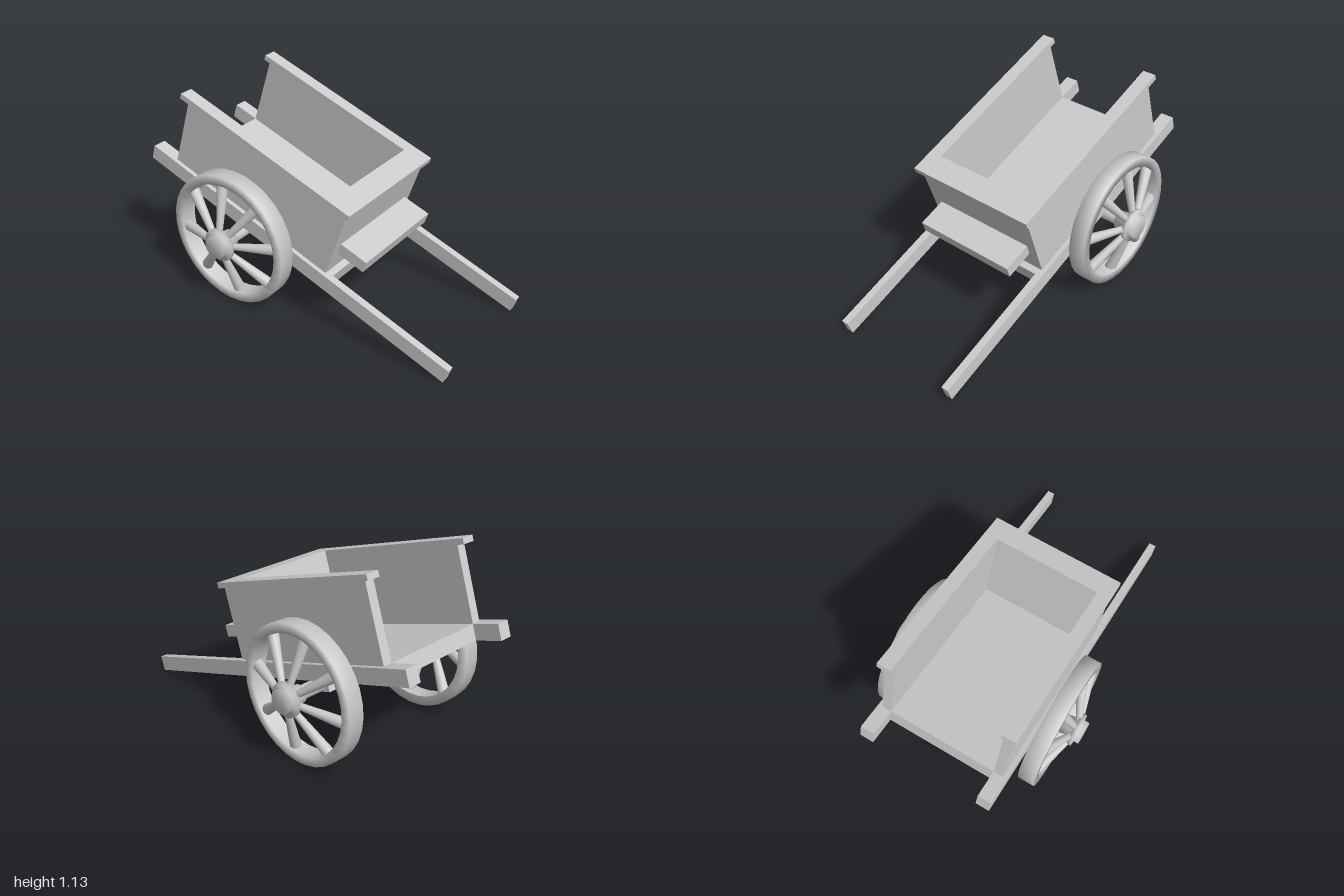
import * as THREE from 'three';

const material = new THREE.MeshStandardMaterial({ color: 0xcccccc });
const HUB = { x: -0.35, y: 0.4 };
const TILT = Math.atan(1 / 3);

// Box given by its extents along each axis
function box(parent, name, [x0, x1], [y0, y1], [z0, z1]) {
  const mesh = new THREE.Mesh(new THREE.BoxGeometry(x1 - x0, y1 - y0, z1 - z0), material);
  mesh.position.set((x0 + x1) / 2, (y0 + y1) / 2, (z0 + z1) / 2);
  mesh.name = name;
  parent.add(mesh);
}

// Ring or hub turned around the z axis; points are [radius, z]
function turned(parent, name, points, segments) {
  const profile = points.map(([r, z]) => new THREE.Vector2(r, z));
  const mesh = new THREE.Mesh(new THREE.LatheGeometry(profile, segments), material);
  mesh.rotation.x = Math.PI / 2;
  mesh.name = name;
  parent.add(mesh);
}

// Tapered round bar between two points
function bar(parent, name, a, b, ra, rb) {
  const dir = b.clone().sub(a);
  const mesh = new THREE.Mesh(new THREE.CylinderGeometry(rb, ra, dir.length(), 12), material);
  mesh.position.copy(a).add(b).multiplyScalar(0.5);
  mesh.quaternion.setFromUnitVectors(new THREE.Vector3(0, 1, 0), dir.normalize());
  mesh.name = name;
  parent.add(mesh);
}

// Dished wheel facing +z, with spokes leaning out to the hub
function createWheel(name, phase) {
  const wheel = new THREE.Group();
  wheel.name = name;
  turned(wheel, 'rim', [[0.33, 0.4], [0.385, 0.4], [0.385, 0.495], [0.33, 0.495], [0.33, 0.4]], 32);
  turned(wheel, 'hub', [
    [0, 0.46], [0.05, 0.46], [0.06, 0.53], [0.095, 0.54], [0.095, 0.563],
    [0.065, 0.566], [0.065, 0.594], [0, 0.594],
  ], 24);
  for (let i = 0; i < 8; i++) {
    const a = phase + (i * Math.PI) / 4;
    const at = (r, z) => new THREE.Vector3(r * Math.cos(a), r * Math.sin(a), z);
    bar(wheel, 'spoke', at(0.05, 0.545), at(0.345, 0.45), 0.017, 0.033);
  }
  return wheel;
}

export function createModel() {
  const cart = new THREE.Group();
  cart.name = 'handCart';

  // Everything below hangs on the axle line
  const chassis = new THREE.Group();
  chassis.name = 'chassis';
  chassis.position.set(HUB.x, HUB.y, 0);
  cart.add(chassis);

  // Tilted body with an open rear end
  const body = new THREE.Group();
  body.name = 'body';
  body.rotation.z = -TILT;
  chassis.add(body);

  box(body, 'floor', [-0.54, 0.6], [0.043, 0.131], [-0.346, 0.346]);
  box(body, 'frontWall', [0.45, 0.561], [0.131, 0.546], [-0.364, 0.364]);
  box(body, 'frontRail', [0.45, 0.587], [0.546, 0.578], [-0.388, 0.388]);
  box(body, 'stepBoard', [0.561, 0.73], [0.243, 0.311], [-0.305, 0.305]);
  box(body, 'axleBlock', [-0.05, 0.05], [-0.045, 0.043], [-0.31, 0.31]);

  for (const s of [1, -1]) {
    const span = (a, b) => (s > 0 ? [a, b] : [-b, -a]);
    box(body, 'sideWall', [-0.54, 0.45], [0.131, 0.546], span(0.31, 0.364));
    box(body, 'sideRail', [-0.582, 0.45], [0.546, 0.578], span(0.31, 0.388));
    box(body, 'shaft', [-0.7, 1.378], [0.043, 0.131], span(0.346, 0.388));
    // Wider rear stub of the shaft
    box(body, 'shaftStub', [-0.7, -0.54], [0.043, 0.131], span(0.31, 0.346));
  }

  // Axle and the pair of wheels
  bar(chassis, 'axle', new THREE.Vector3(0, 0, -0.5), new THREE.Vector3(0, 0, 0.5), 0.038, 0.038);
  const phase = THREE.MathUtils.degToRad(7);
  chassis.add(createWheel('frontWheel', phase));
  const backWheel = createWheel('backWheel', Math.PI - phase);
  backWheel.rotation.y = Math.PI;
  chassis.add(backWheel);

  return cart;
}
